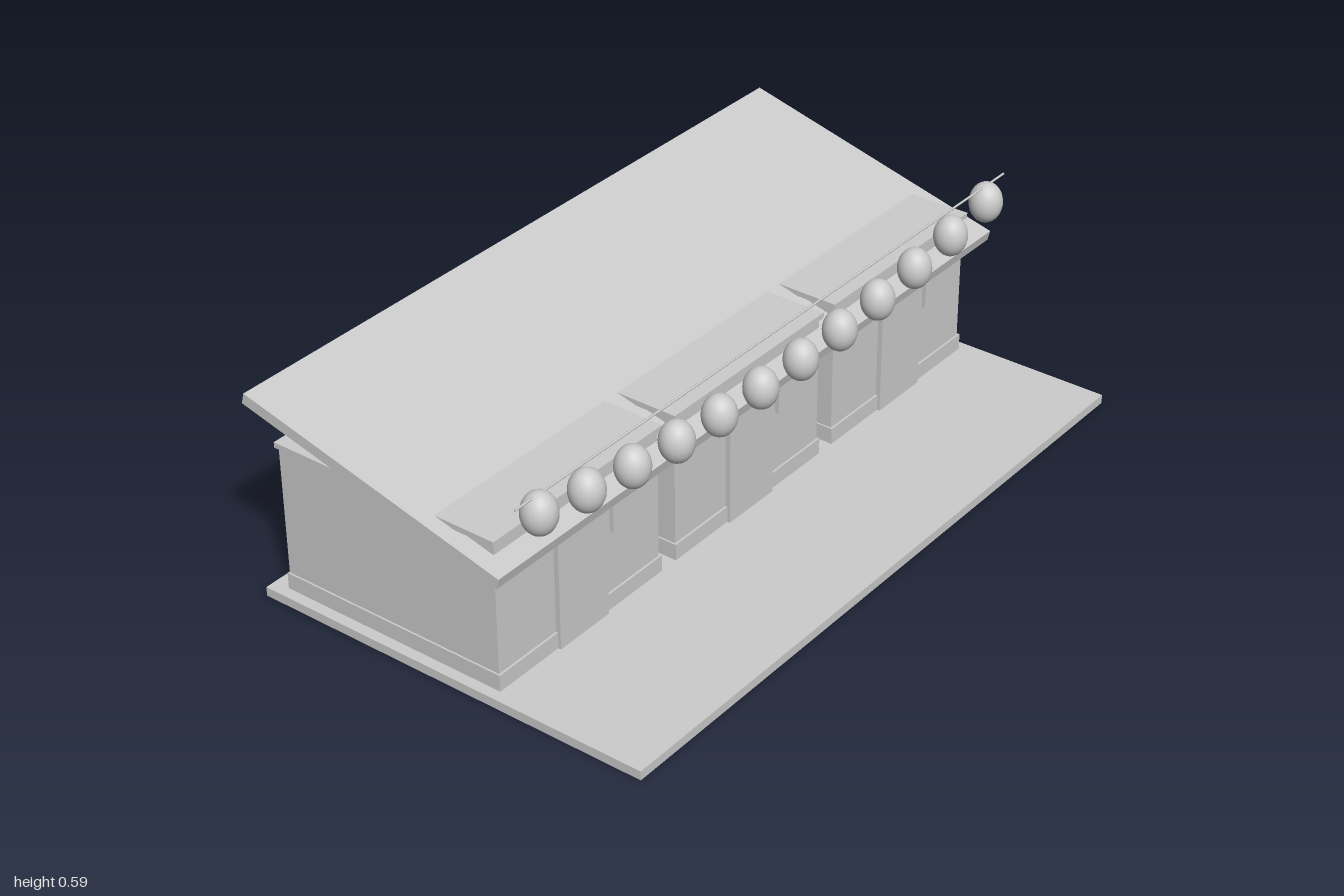
import * as THREE from 'three';

export function createModel() {
  const group = new THREE.Group();
  const grey = new THREE.MeshStandardMaterial({ color: 0xcccccc });
  grey.name = 'light grey';

  const add = (parent, name, geometry, x, y, z) => {
    const mesh = new THREE.Mesh(geometry, grey);
    mesh.name = name;
    mesh.position.set(x, y, z);
    parent.add(mesh);
    return mesh;
  };
  // Box given by its x centre and width, and its y and z ranges
  const block = (parent, name, x, width, y0, y1, z0, z1) =>
    add(parent, name, new THREE.BoxGeometry(width, y1 - y0, z1 - z0), x, (y0 + y1) / 2, (z0 + z1) / 2);

  // Ground platform
  block(group, 'platform', 0, 1.97, 0, 0.025, -0.571, 0.576);

  // Three stalls, each with plinth, cap slab, door and hanging sign
  for (const x of [-0.655, 0, 0.655]) {
    const stall = new THREE.Group();
    stall.name = 'stall';
    stall.position.x = x;
    block(stall, 'walls', 0, 0.59, 0.025, 0.428, -0.522, 0.137);
    block(stall, 'plinth', 0, 0.6, 0.025, 0.07, -0.525, 0.143);
    block(stall, 'capSlab', 0, 0.607, 0.428, 0.443, -0.528, 0.145);
    block(stall, 'door', -0.003, 0.178, 0.025, 0.324, 0.13, 0.151);
    block(stall, 'sign', 0.177, 0.129, 0.24, 0.355, 0.13, 0.148);
    group.add(stall);
  }

  // Single sloping roof, low at the front
  const roof = add(group, 'roof', new THREE.BoxGeometry(2, 0.03, 0.788), 0, 0.469, -0.192);
  roof.rotation.x = 0.25;

  // Straight wire with a sagging row of lanterns in front of it
  const wire = add(group, 'wire', new THREE.CylinderGeometry(0.003, 0.003, 1.965, 8), 0, 0.578, 0.234);
  wire.rotation.z = Math.PI / 2;
  const lanternShape = new THREE.SphereGeometry(0.045, 24, 16).scale(1, 1.25, 1);
  for (let i = 0; i < 12; i++) {
    const t = (i - 5.5) / 5.5;
    add(group, 'lantern', lanternShape, t * 0.902, 0.446 + 0.083 * t * t, 0.234);
  }
  return group;
}
